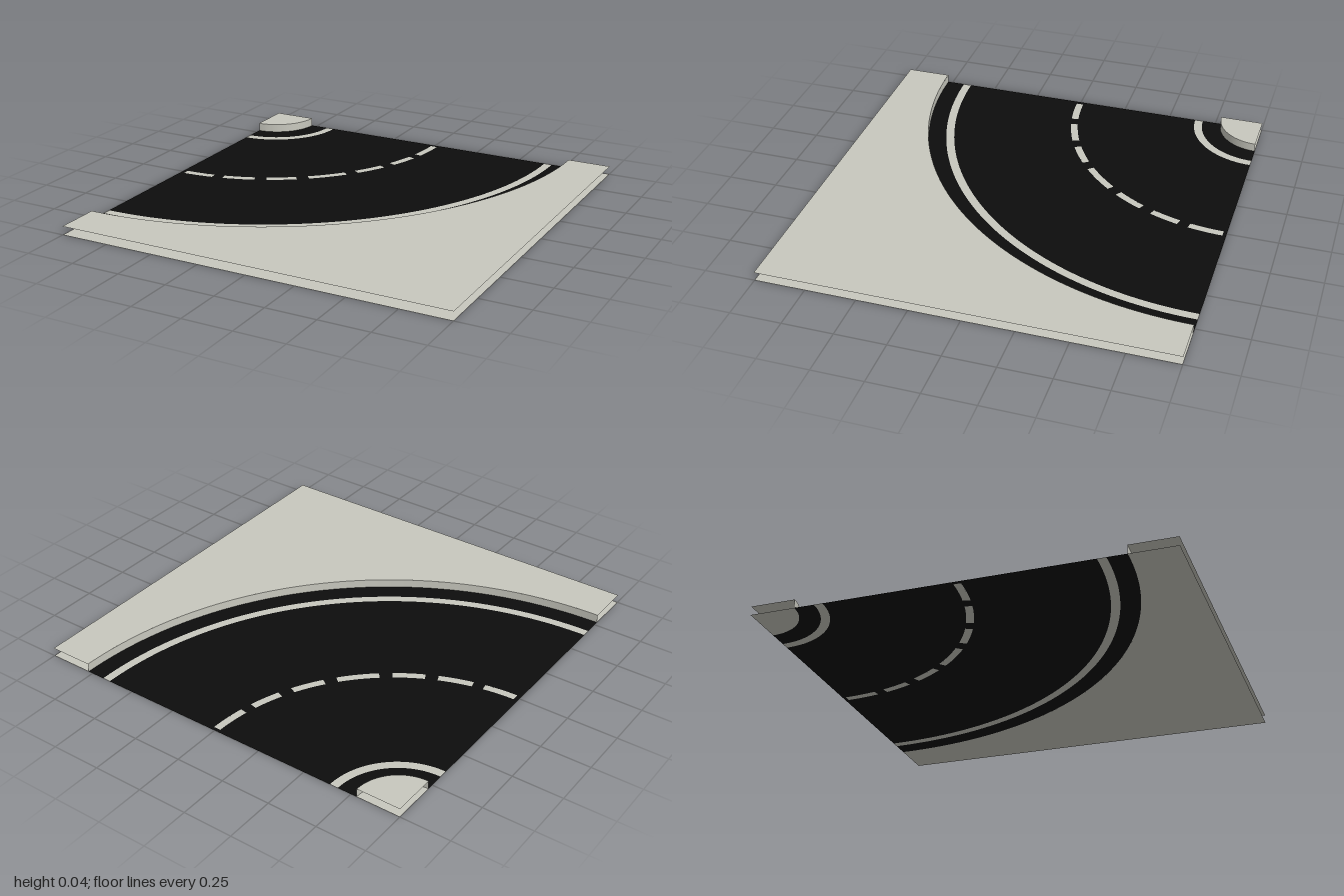
import * as THREE from 'three';

export function createModel() {
  const group = new THREE.Group();
  group.name = 'roadBend';
  const asphalt = new THREE.MeshStandardMaterial({ color: 0x0d0d0d, side: THREE.DoubleSide });
  asphalt.name = 'asphalt';
  const concrete = new THREE.MeshStandardMaterial({ color: 0xc8c8be, side: THREE.DoubleSide });
  concrete.name = 'concrete';

  const SEG = 64, H = 0.043;      // arc smoothness, kerb height
  const R_IN = 0.22, R_OUT = 1.775; // kerb radii about the bend centre
  const rad = THREE.MathUtils.degToRad;

  const add = (name, geometry, material, y = 0) => {
    const mesh = new THREE.Mesh(geometry, material);
    mesh.name = name;
    mesh.position.set(-1, y, -1); // bend centre is the back right corner
    group.add(mesh);
  };

  // flat band between two radii; angles in degrees run from +x towards +z
  const band = (name, r0, r1, material, a0 = 0, a1 = 90, y = 0) => {
    const n = Math.max(4, Math.ceil(SEG * (a1 - a0) / 90));
    const g = new THREE.RingGeometry(r0, r1, n, 1, rad(-a1), rad(a1 - a0));
    add(name, g.rotateX(-Math.PI / 2), material, y);
  };

  // corner area outside the bend
  const outerArea = (name, y) => {
    const s = new THREE.Shape();
    s.moveTo(2, 0);
    s.lineTo(R_OUT, 0);
    s.absarc(0, 0, R_OUT, 0, -Math.PI / 2, true);
    s.lineTo(0, -2);
    s.lineTo(2, -2);
    s.closePath();
    add(name, new THREE.ShapeGeometry(s, SEG).rotateX(-Math.PI / 2), concrete, y);
  };

  // upright kerb face along an arc
  const kerb = (name, r) => {
    const g = new THREE.CylinderGeometry(r, r, H, SEG, 1, true, 0, Math.PI / 2);
    add(name, g, concrete, H / 2);
  };

  // road surface and solid edge lines
  band('innerRoadEdge', R_IN, 0.318, asphalt);
  band('innerEdgeLine', 0.318, 0.36, concrete);
  band('innerLane', 0.36, 0.982, asphalt);
  band('outerLane', 1.018, 1.64, asphalt);
  band('outerEdgeLine', 1.64, 1.682, concrete);
  band('outerRoadEdge', 1.682, R_OUT, asphalt);

  // dashed centre line, with asphalt filling the gaps
  const dashes = [[1, 10.8], [14, 22.6], [26.4, 35.6], [39.2, 50.8], [54.4, 63.3], [66.8, 76.4], [79.6, 88.8]];
  let last = 0;
  for (const [a0, a1] of dashes) {
    band('centreGap', 0.982, 1.018, asphalt, last, a0);
    band('centreDash', 0.982, 1.018, concrete, a0, a1);
    last = a1;
  }
  band('centreGap', 0.982, 1.018, asphalt, last, 90);

  // ground sheet and raised pavement on both sides, open at the tile edges
  for (const [label, y] of [['Ground', 0], ['Pavement', H]]) {
    band('inner' + label, 0, R_IN, concrete, 0, 90, y);
    outerArea('outer' + label, y);
  }
  kerb('innerKerb', R_IN);
  kerb('outerKerb', R_OUT);

  return group;
}
